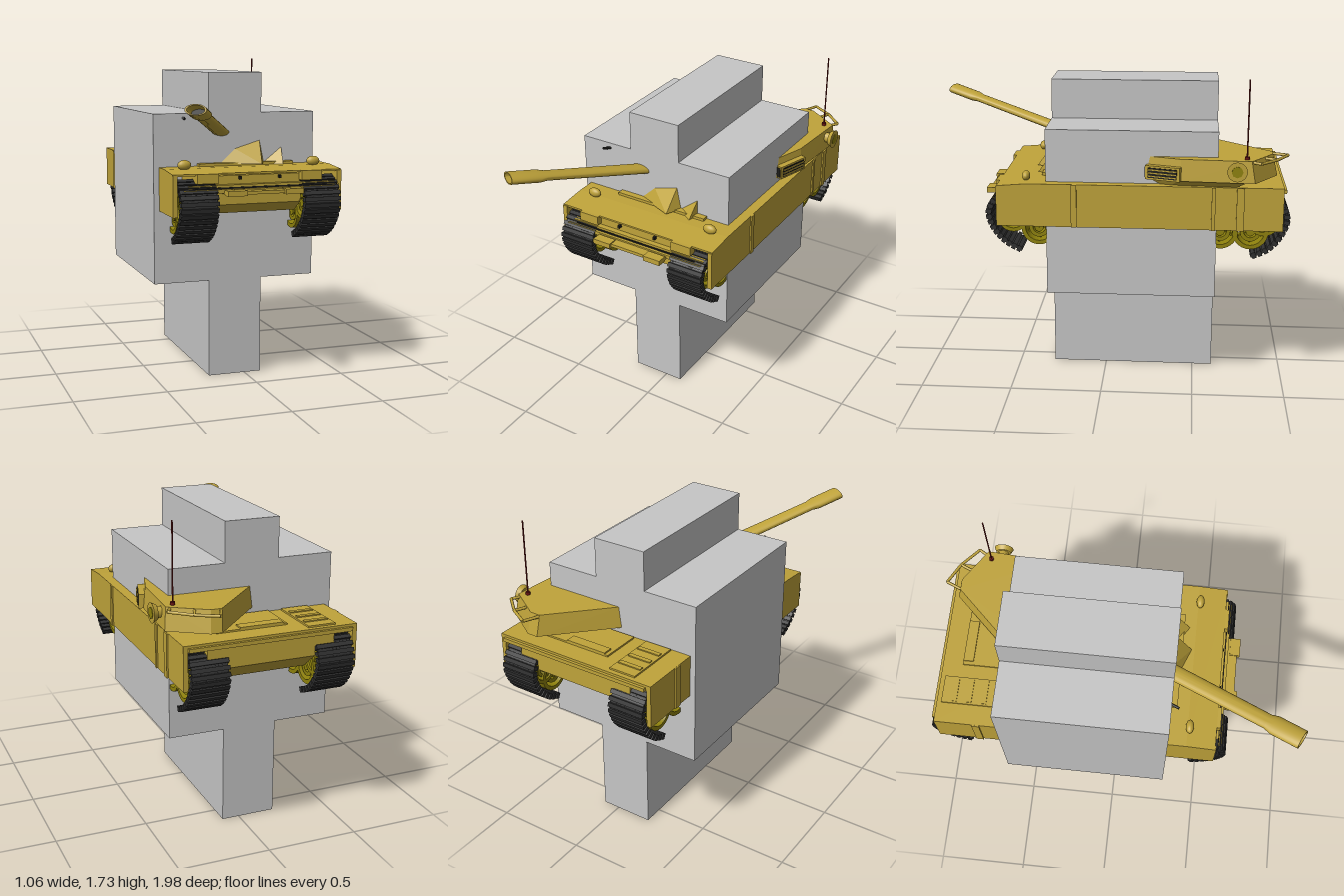
import * as THREE from 'three';
import { toCreasedNormals } from 'three/addons/utils/BufferGeometryUtils.js';
import { ConvexGeometry } from 'three/addons/geometries/ConvexGeometry.js';

const paint = (name, color) => Object.assign(new THREE.MeshStandardMaterial({ color }), { name });

export function createModel() {
  const model = new THREE.Group();
  model.name = 'tankWithBlock';
  const gold = paint('goldPaint', 0xbfa33a);
  const olive = paint('oliveWheel', 0x8f820c);
  const rubber = paint('trackRubber', 0x303030);
  const dark = paint('darkMetal', 0x1c1c1a);
  const red = paint('antennaRed', 0x6a1512);
  const grey = paint('greyBlock', 0xc6c6c6);

  const add = (name, geo, mat, parent = model) => {
    const mesh = new THREE.Mesh(geo, mat);
    mesh.name = name;
    parent.add(mesh);
    return mesh;
  };
  // Box given by its limits on each axis
  const box = (name, mat, x0, x1, y0, y1, z0, z1, parent) => {
    const m = add(name, new THREE.BoxGeometry(x1 - x0, y1 - y0, z1 - z0), mat, parent);
    m.position.set((x0 + x1) / 2, (y0 + y1) / 2, (z0 + z1) / 2);
    return m;
  };
  const convex = (name, mat, pts) => add(name, new ConvexGeometry(pts.map(p => new THREE.Vector3(...p))), mat);
  // Solid with a (z, y) profile running across x
  const acrossX = (name, mat, pts, x0, x1) =>
    convex(name, mat, pts.flatMap(([z, y]) => [[x0, y, z], [x1, y, z]]));
  const rod = (name, mat, a, b, r) => {
    const A = new THREE.Vector3(...a), B = new THREE.Vector3(...b);
    const m = add(name, new THREE.CylinderGeometry(r, r, A.distanceTo(B), 8), mat);
    m.position.copy(A).add(B).multiplyScalar(0.5);
    m.quaternion.setFromUnitVectors(new THREE.Vector3(0, 1, 0), B.sub(A).normalize());
    return m;
  };

  // Extruded cross block
  const outline = [[-0.205, 0], [0.095, 0], [0.095, 0.535], [0.4, 0.535], [0.4, 1.445], [0.095, 1.445],
    [0.095, 1.66], [-0.205, 1.66], [-0.205, 1.445], [-0.51, 1.445], [-0.51, 0.535], [-0.205, 0.535]];
  const cross = new THREE.Shape(outline.map(p => new THREE.Vector2(...p)));
  add('crossBlock', new THREE.ExtrudeGeometry(cross, { depth: 0.91, bevelEnabled: false }), grey).position.z = -0.61;

  // Hull: lower tub, upper body, thin deck and side skirts
  acrossX('lowerHull', gold, [[0.55, 1.08], [0.55, 0.985], [0.47, 0.93], [-0.84, 0.93], [-0.95, 1.02], [-0.95, 1.08]], -0.25, 0.223);
  acrossX('upperHull', gold, [[0.54, 1.07], [0.54, 1.135], [0.4, 1.155], [-0.95, 1.155], [-0.95, 1.07]], -0.355, 0.33);
  acrossX('deck', gold, [[0.555, 1.14], [0.555, 1.15], [0.4, 1.163], [-0.955, 1.163], [-0.955, 1.14]], -0.48, 0.455);
  [[-0.48, -0.455], [0.43, 0.455]].forEach(([a, b]) =>
    acrossX('sideSkirt', gold, [[0.56, 0.93], [0.56, 1.145], [0.4, 1.16], [-0.955, 1.16], [-0.955, 0.93]], a, b));
  [[0.13, 0.16], [-0.6, -0.58], [-0.75, -0.71]].forEach(([a, b]) => {
    box('skirtStrap', gold, 0.454, 0.463, 0.93, 1.162, a, b);
    box('skirtStrap', gold, -0.487, -0.479, 0.93, 1.162, a, b);
  });

  // Bow fittings
  box('bowShelf', gold, -0.43, 0.405, 1.05, 1.07, 0.5, 0.59);
  box('bowRecess', dark, -0.38, 0.36, 1.07, 1.078, 0.53, 0.575);
  box('bowRail', gold, -0.4, 0.41, 1.075, 1.09, 0.53, 0.57);
  box('towPlate', gold, -0.215, 0.2, 1.045, 1.062, 0.55, 0.64);
  [[-0.215, -0.11], [0.1, 0.2]].forEach(([a, b]) => box('towTab', gold, a, b, 1.04, 1.068, 0.6, 0.655));
  [[-0.355, -0.24], [0.22, 0.335]].forEach(([a, b]) => box('lampBox', gold, a, b, 1.1, 1.15, 0.53, 0.575));
  [-0.115, 0.105].forEach(x => box('bowBolt', dark, x - 0.006, x + 0.006, 1.115, 1.13, 0.54, 0.562));
  box('lowerBowPanel', gold, -0.155, -0.11, 1.04, 1.06, 0.54, 0.565);
  [-0.374, 0.354].forEach(x => {
    const lamp = add('headlight', new THREE.SphereGeometry(1, 16, 10), gold);
    lamp.scale.set(0.038, 0.026, 0.022);
    lamp.position.set(x, 1.183, 0.41);
  });

  // Engine deck panels
  box('engineHatch', gold, -0.37, -0.22, 1.16, 1.172, -0.93, -0.62);
  [-0.86, -0.78, -0.7].forEach(z => box('hatchRib', gold, -0.36, -0.23, 1.17, 1.178, z - 0.012, z + 0.012));
  box('engineCover', gold, -0.145, 0.24, 1.16, 1.172, -0.845, -0.62);
  box('coverSlot', gold, -0.125, 0.11, 1.17, 1.18, -0.845, -0.79);
  box('rearLedge', gold, -0.45, 0.43, 1.13, 1.15, -0.97, -0.95);

  // Road wheels: open concentric rings with a hub and thin spokes
  const ring = (r0, r1, w) => {
    const pts = [[r0, -w], [r1, -w], [r1, w], [r0, w], [r0, -w]].map(p => new THREE.Vector2(...p));
    return toCreasedNormals(new THREE.LatheGeometry(pts, 28), 0.7).rotateZ(Math.PI / 2);
  };
  const wheelParts = [ring(0.073, 0.095, 0.07), ring(0.034, 0.055, 0.06), ring(0.001, 0.024, 0.065)];
  const wheel = (x, y, z, s = 1) => {
    const g = new THREE.Group();
    g.name = 'roadWheel';
    wheelParts.forEach(geo => add('wheelRing', geo, olive, g));
    for (let i = 0; i < 3; i++)
      add('spoke', new THREE.BoxGeometry(0.03, 0.15, 0.008), olive, g).rotation.x = i * Math.PI / 3;
    g.position.set(x, y, z);
    g.scale.set(1, s, s);
    model.add(g);
  };

  // Track ends: pads along an open arc at the bow and stern
  const arcs = [
    [[0.5, 1.1], [0.575, 1.06], [0.605, 1.0], [0.593, 0.935], [0.555, 0.872], [0.505, 0.825], [0.445, 0.793]],
    [[-0.87, 1.11], [-0.945, 1.07], [-0.978, 0.99], [-0.96, 0.92], [-0.92, 0.857], [-0.87, 0.812], [-0.81, 0.785]],
  ];
  [-0.352, 0.325].forEach(x => {
    [0.34, 0.03, -0.31, -0.63, -0.79].forEach(z => wheel(x, 0.905, z));
    wheel(x, 0.965, 0.48, 0.9);
    wheel(x, 0.97, -0.86, 0.9);
    arcs.forEach(arc => {
      const curve = new THREE.CatmullRomCurve3(arc.map(([z, y]) => new THREE.Vector3(x, y, z)));
      const n = 14;
      for (let i = 0; i <= n; i++) {
        const p = curve.getPointAt(i / n), t = curve.getTangentAt(i / n);
        const link = new THREE.Group();
        link.name = 'trackLink';
        link.position.copy(p);
        link.rotation.x = Math.atan2(-t.y, t.z);
        add('trackPad', new THREE.BoxGeometry(0.204, 0.032, 0.022), rubber, link);
        add('trackJoint', new THREE.BoxGeometry(0.19, 0.014, 0.036), rubber, link);
        model.add(link);
      }
    });
  });

  // Turret, turned toward the right
  const plan = [[-0.05, -0.62], [0.24, -0.925], [0.3, -0.925], [0.49, -0.8], [0.465, -0.42], [0.41, -0.25],
    [0.15, 0.29], [-0.11, 0.29], [-0.38, 0.1], [-0.3, -0.35]];
  convex('turretBody', gold, plan.flatMap(([x, z]) => [[x, 1.195, z],
    [0.05 + (x - 0.05) * 0.97, 1.31, -0.3 + (z + 0.3) * 0.96]]));
  convex('turretBase', gold, plan.flatMap(([x, z]) => [[x * 0.9, 1.16, z * 0.88], [x * 0.97, 1.196, z * 0.95]]));
  box('turretRingPlate', gold, -0.27, 0.27, 1.16, 1.178, 0.1, 0.335);
  convex('frontCheek', gold, [[-0.14, 1.17, 0.3], [0.11, 1.17, 0.3], [0.07, 1.17, 0.385], [-0.07, 1.26, 0.29],
    [0.086, 1.3, 0.295], [0.1, 1.17, 0.2], [-0.1, 1.17, 0.2]]);
  convex('sideCheek', gold, [[0.1, 1.165, 0.3], [0.2, 1.165, 0.365], [0.215, 1.165, 0.29], [0.213, 1.26, 0.295],
    [0.1, 1.165, 0.2], [0.2, 1.165, 0.2]]);

  // Launcher box with dark louvres on the turret side
  const launcher = new THREE.Group();
  launcher.name = 'sideLauncher';
  launcher.position.set(0.44, 1.232, -0.325);
  launcher.rotation.y = -0.3;
  model.add(launcher);
  box('launcherBox', gold, -0.02, 0.02, -0.037, 0.037, -0.095, 0.095, launcher);
  box('launcherVent', dark, 0.017, 0.024, -0.027, 0.027, -0.08, 0.08, launcher);
  box('launcherFrontVent', dark, -0.014, 0.014, -0.028, 0.028, 0.09, 0.098, launcher);
  for (let i = -1; i <= 1; i++)
    box('launcherLouvre', gold, 0.018, 0.028, i * 0.017 - 0.003, i * 0.017 + 0.003, -0.08, 0.08, launcher);

  // Side searchlight
  rod('searchlightArm', gold, [0.45, 1.264, -0.705], [0.505, 1.264, -0.705], 0.03);
  rod('searchlightDisc', gold, [0.5, 1.264, -0.705], [0.525, 1.264, -0.705], 0.052).geometry =
    new THREE.CylinderGeometry(0.052, 0.04, 0.025, 24);
  rod('searchlightRim', olive, [0.52, 1.264, -0.705], [0.528, 1.264, -0.705], 0.03);

  // Stowage frame behind the turret
  const frame = [[0.24, -0.9], [0.275, -0.98], [0.385, -0.92], [0.485, -0.83], [0.46, -0.79]];
  frame.slice(1).forEach(([x, z], i) =>
    rod('stowageRail', gold, [frame[i][0], 1.3, frame[i][1]], [x, 1.3, z], 0.008));
  rod('stowageBrace', gold, [0.385, 1.3, -0.92], [0.35, 1.3, -0.84], 0.008);

  // Antenna
  rod('antennaBase', red, [0.432, 1.3, -0.757], [0.432, 1.325, -0.757], 0.013);
  rod('antenna', red, [0.432, 1.32, -0.757], [0.432, 1.725, -0.757], 0.004);

  // Main gun: flattened hollow barrel with a thicker muzzle
  const gun = new THREE.Group();
  gun.name = 'mainGun';
  gun.position.set(-0.01, 1.287, 0.05);
  gun.lookAt(-0.485, 1.5, 0.965);
  model.add(gun);
  const barrel = [[0.046, 0], [0.042, 0.85], [0.053, 0.89], [0.053, 1.05], [0.043, 1.05], [0.038, 0.93]];
  const lathe = new THREE.LatheGeometry(barrel.map(p => new THREE.Vector2(...p)), 28);
  add('barrel', toCreasedNormals(lathe, 0.6).rotateX(Math.PI / 2).scale(1, 0.52, 1), gold, gun);
  const bore = add('bore', new THREE.CircleGeometry(0.042, 24).scale(1, 0.52, 1), dark, gun);
  bore.position.z = 0.94;

  // Small roof gun
  rod('roofGun', dark, [-0.3, 1.4, 0.22], [-0.358, 1.424, 0.338], 0.007);

  return model;
}
